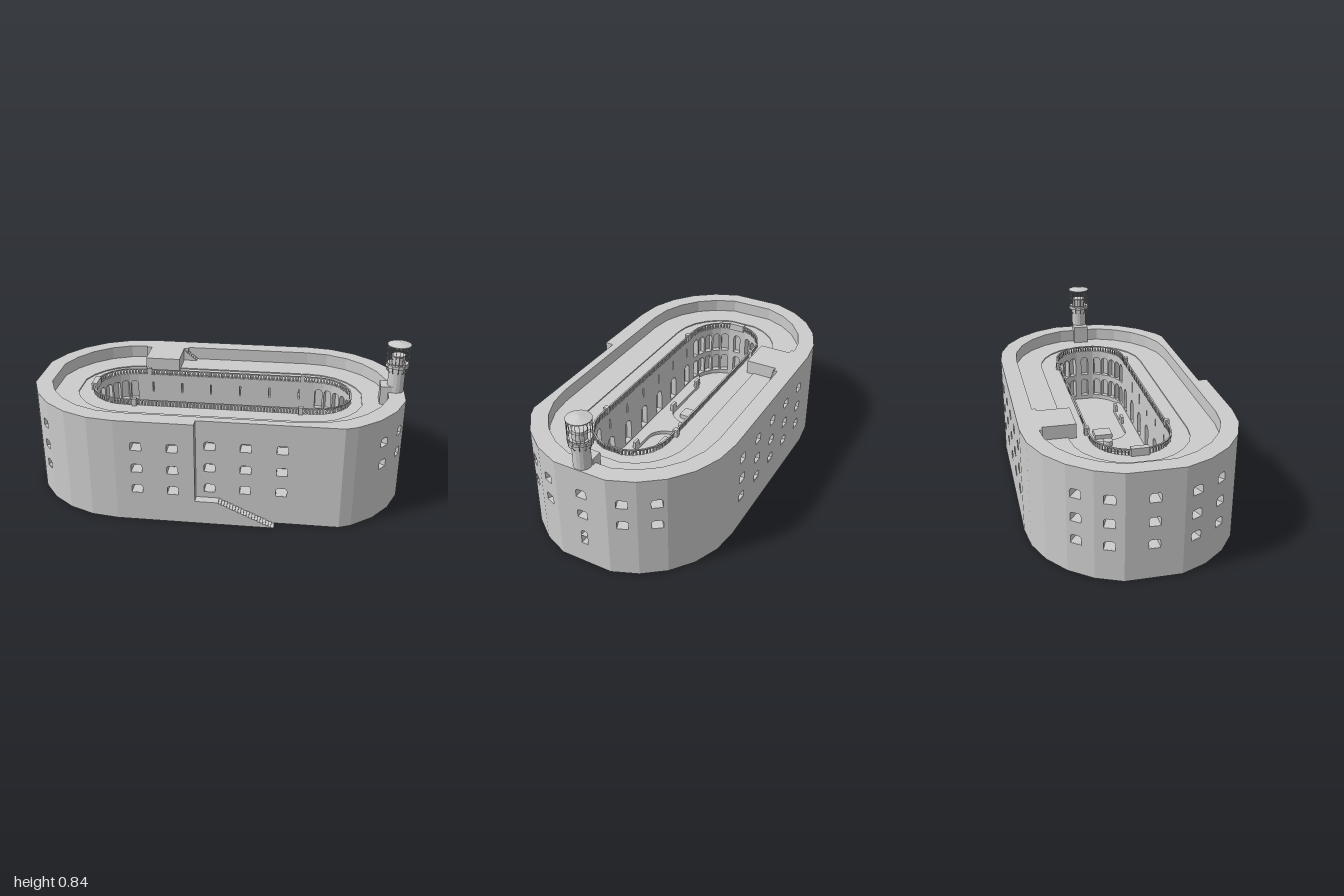
import * as THREE from 'three';
import { mergeGeometries } from 'three/addons/utils/BufferGeometryUtils.js';

const mat = new THREE.MeshStandardMaterial({ color: 0xcccccc, side: THREE.DoubleSide, flatShading: true });
const OFF = -0.01, CX = 0.465, R = 0.54, TOP = 0.568, ROOF = 0.498, EDGE = 0.492, FLOOR = 0.168;
const V2 = (x, y) => new THREE.Vector2(x, y);

// Plan of a stadium with faceted ends, as (x, z), running +x along the front
function stadium(cx, r, off = OFF) {
  const pts = [];
  for (const s of [1, -1]) {
    for (let i = 0; i <= 12; i++) {
      if (i === 6) continue; // the tip facet is double width
      const a = Math.PI / 2 - (i * Math.PI) / 12;
      pts.push(V2(off + s * (cx + r * Math.cos(a)), s * r * Math.sin(a)));
    }
  }
  return pts;
}

// Quads between successive closed loops of 3D points
function loft(rows) {
  const pos = [];
  for (let j = 0; j + 1 < rows.length; j++) {
    const p = rows[j], q = rows[j + 1];
    for (let i = 0; i < p.length; i++) {
      const k = (i + 1) % p.length;
      for (const v of [p[i], p[k], q[k], p[i], q[k], q[i]]) pos.push(v.x, v.y, v.z);
    }
  }
  const g = new THREE.BufferGeometry();
  g.setAttribute('position', new THREE.Float32BufferAttribute(pos, 3));
  g.computeVertexNormals();
  return g;
}
const bare = (g) => {
  const n = g.index ? g.toNonIndexed() : g;
  n.deleteAttribute('uv');
  return n;
};
const merge = (list) => mergeGeometries(list.map(bare));

// Opening with rounded upper corners
function archPoints(u, y, w, h, c) {
  const pts = [V2(u - w / 2, y), V2(u + w / 2, y)];
  for (const s of [1, -1]) {
    for (let i = 0; i <= 3; i++) {
      const a = ((s > 0 ? i : i + 3) * Math.PI) / 6;
      pts.push(V2(u + s * (w / 2 - c) + c * Math.cos(a), y + h - c + c * Math.sin(a)));
    }
  }
  return pts;
}

// Flat wall from a to b with recessed niches
function wallPanel(a, b, y0, y1, columns, depth) {
  const len = a.distanceTo(b), dir = b.clone().sub(a).divideScalar(len);
  const shape = new THREE.Shape([V2(0, y0), V2(len, y0), V2(len, y1), V2(0, y1)]);
  const parts = [];
  for (const col of columns) {
    const d = V2(col.x, col.z).sub(a), u = d.dot(dir);
    if (Math.abs(d.cross(dir)) > 0.012 || u < col.w / 2 || u > len - col.w / 2) continue;
    for (const [y, h, w, c] of col.rows) {
      const pts = archPoints(u, y, w, h, c);
      shape.holes.push(new THREE.Path(pts));
      parts.push(loft([0, -depth].map((z) => pts.map((p) => new THREE.Vector3(p.x, p.y, z)))));
      parts.push(new THREE.ShapeGeometry(new THREE.Shape(pts)).translate(0, 0, -depth));
    }
  }
  parts.push(new THREE.ShapeGeometry(shape));
  return merge(parts).rotateY(-Math.atan2(dir.y, dir.x)).translate(a.x, 0, a.y);
}
const walls = (pts, y0, y1, columns, depth) =>
  merge(pts.map((p, i) => wallPanel(p, pts[(i + 1) % pts.length], y0, y1, columns, depth)));

// Horizontal face or downward slab from a plan
function slab(pts, holes, y, thick = 0) {
  const s = new THREE.Shape(pts);
  s.holes = holes.map((h) => new THREE.Path(h));
  const g = thick ? new THREE.ExtrudeGeometry(s, { depth: thick, bevelEnabled: false }) : new THREE.ShapeGeometry(s);
  return g.rotateX(Math.PI / 2).translate(0, y, 0);
}
const box = (x0, x1, y0, y1, z0, z1) =>
  new THREE.BoxGeometry(x1 - x0, y1 - y0, z1 - z0).translate((x0 + x1) / 2, (y0 + y1) / 2, (z0 + z1) / 2);
const tube = (r0, r1, y0, y1, n = 16) => new THREE.CylinderGeometry(r1, r0, y1 - y0, n).translate(0, (y0 + y1) / 2, 0);

export function createModel() {
  const group = new THREE.Group();
  const add = (name, geo, parent = group) => {
    const m = new THREE.Mesh(geo, mat);
    m.name = name;
    parent.add(m);
  };

  // Outer wall, set back on the right half of the front
  const outline = [V2(-0.07, R), V2(-0.07, 0.493), V2(0.664, 0.493), ...stadium(CX, R).slice(2)];
  const rows3 = [0.163, 0.282, 0.406].map((y) => [y, 0.046, 0.056, 0.014]);
  const columns = [];
  for (const x of [-0.365, -0.182, 0, 0.182, 0.365]) {
    columns.push({ x, z: x < -0.07 ? R : 0.493, w: 0.056, rows: rows3 }, { x, z: -R, w: 0.056, rows: rows3 });
  }
  for (const s of [1, -1]) {
    for (const deg of [-40, -22.5, 0, 22.5, 40]) {
      const a = (deg * Math.PI) / 180, r = R * Math.cos(Math.PI / (deg ? 24 : 12));
      const rows = s < 0 ? rows3 : rows3.slice(1);
      if (s > 0 && deg === 0) rows.push([0.12, 0.082, 0.036, 0.017]);
      columns.push({ x: OFF + s * (CX + r * Math.cos(a)), z: r * Math.sin(a), w: 0.056, rows });
    }
  }
  add('outerWall', walls(outline, 0, TOP, columns, 0.075));

  // Parapet top, sunken roof terrace and base floor
  add('parapetTop', slab(outline, [stadium(CX, 0.45)], TOP));
  const ring = (cx, r, y, off) => stadium(cx, r, off).map((p) => new THREE.Vector3(p.x, y, p.y));
  add('roofTerrace', loft([ring(CX, 0.45, TOP), ring(CX, 0.45, ROOF), ring(0.48, 0.3, ROOF), ring(0.48, 0.3, EDGE), ring(0.505, 0.2, EDGE, 0)]));
  add('baseFloor', slab(outline, [], FLOOR));

  // Courtyard wall: arches at the ends, slits over a low arcade on the long sides
  const yard = stadium(0.505, 0.2, 0).reverse();
  const endRows = [[FLOOR + 0.025, 0.11, 0.042, 0.02], [0.335, 0.115, 0.042, 0.02]];
  const sideRows = [[FLOOR + 0.025, 0.135, 0.06, 0.028], [0.385, 0.06, 0.008, 0.002]];
  const yardColumns = [];
  yard.forEach((p, i) => {
    const q = yard[(i + 1) % yard.length], long = p.distanceTo(q) > 0.5, n = long ? 6 : 1;
    for (let k = 0; k < n; k++) {
      const m = p.clone().lerp(q, (k + 0.5) / n);
      yardColumns.push({ x: m.x, z: m.y, w: 0.042, rows: long ? sideRows : endRows });
    }
  });
  add('courtyardWall', walls(yard, FLOOR, EDGE, yardColumns, 0.03));

  // Balustrade round the courtyard edge
  const balustrade = [slab(stadium(0.505, 0.206, 0), [stadium(0.505, 0.198, 0)], EDGE + 0.032, 0.006)];
  yard.forEach((p, i) => {
    const q = yard[(i + 1) % yard.length], n = Math.max(3, Math.round(p.distanceTo(q) / 0.015));
    for (let k = 0; k < n; k++) {
      const m = p.clone().lerp(q, k / n);
      balustrade.push(new THREE.BoxGeometry(0.008, 0.03, 0.006).translate(m.x, EDGE + 0.014, m.y));
    }
  });
  for (const x of [-0.44, 0.44]) for (const s of [-1, 1]) balustrade.push(box(x - 0.012, x + 0.012, EDGE, EDGE + 0.04, s * 0.205 - 0.012, s * 0.205 + 0.012));
  balustrade.push(box(-0.715, -0.685, EDGE, EDGE + 0.04, -0.045, 0.045));
  add('balustrade', merge(balustrade));

  // Low terrace: side strips joined by a bridge between two rounded openings
  const quarter = [];
  for (let i = 0; i <= 6; i++) {
    const a = (i * Math.PI) / 12;
    quarter.push(V2(0.15 - 0.1 * Math.cos(a), 0.135 * Math.sin(a)));
  }
  quarter.push(V2(0.44, 0.135), V2(0.5, 0.15), V2(0.56, 0.185), V2(0.505, 0.199));
  const mirror = (pts, sx, sz) => pts.map((p) => V2(p.x * sx, p.y * sz));
  const terrace = [
    ...quarter, ...mirror(quarter, -1, 1).reverse(),
    ...mirror(quarter, -1, -1).slice(1), ...mirror(quarter, 1, -1).reverse().slice(0, -1),
  ];
  add('courtyardTerrace', slab(terrace, [], FLOOR + 0.02, 0.02));
  const posts = [];
  for (const x of [-0.44, -0.15, 0.27, 0.44]) for (const s of [-1, 1]) posts.push(box(x - 0.02, x + 0.02, FLOOR, FLOOR + 0.06, s * 0.142 - 0.008, s * 0.142 + 0.008));
  add('terracePosts', merge(posts));
  add('well', tube(0.026, 0.026, FLOOR, FLOOR + 0.05));
  add('hatch', box(0.115, 0.2, FLOOR, FLOOR + 0.025, -0.05, 0.05));
  add('stage', box(-0.19, -0.115, FLOOR, FLOOR + 0.025, -0.08, 0.08));

  // Roof house joined to the rear parapet, with a stair beside it
  const house = [box(-0.47, -0.275, EDGE, TOP, -0.46, -0.26), box(-0.5, -0.25, ROOF, TOP, -0.46, -0.43)];
  for (let i = 0; i < 7; i++) house.push(box(-0.275 + i * 0.011, -0.264 + i * 0.011, ROOF, TOP - (i + 1) * 0.009, -0.45, -0.42));
  add('roofHouse', merge(house));

  // Landing and entrance stairs: a hollow profile closed at the front
  const profile = [V2(-0.07, 0.13), V2(0.05, 0.13)], N = 20;
  for (let i = 0; i < N; i++) {
    const x = 0.05 + (i * 0.285) / N, y = 0.13 * (1 - (i + 1) / N);
    profile.push(V2(x, y), V2(x + 0.285 / N, y));
  }
  profile.push(V2(-0.07, 0));
  const treads = new THREE.PlaneGeometry(1, 1, profile.length - 2, 1);
  const tp = treads.attributes.position;
  for (let i = 0; i < tp.count; i++) {
    const p = profile[i % (profile.length - 1)];
    tp.setXYZ(i, p.x, p.y, i < profile.length - 1 ? 0.493 : R);
  }
  add('entranceStairs', merge([treads, new THREE.ShapeGeometry(new THREE.Shape(profile)).translate(0, 0, R)]));

  // Lookout tower with barred lantern
  const tower = new THREE.Group();
  tower.name = 'lookoutTower';
  tower.position.set(0.93, 0, 0.01);
  group.add(tower);
  add('towerShaft', tube(0.044, 0.044, ROOF, 0.71), tower);
  add('towerPlatform', tube(0.06, 0.06, 0.706, 0.722), tower);
  add('lanternCore', tube(0.036, 0.036, 0.722, 0.77), tower);
  add('lanternRoof', merge([tube(0.062, 0.062, 0.824, 0.828), new THREE.ConeGeometry(0.062, 0.014, 16).translate(0, 0.835, 0)]), tower);
  const bars = [0.775, 0.73].map((y) => new THREE.TorusGeometry(0.059, 0.0014, 4, 24).rotateX(Math.PI / 2).translate(0, y, 0));
  for (let i = 0; i < 20; i++) {
    const a = (i * Math.PI) / 10;
    bars.push(tube(0.0015, 0.0015, 0.72, 0.825, 4).translate(0.059 * Math.cos(a), 0, 0.059 * Math.sin(a)));
  }
  add('lanternBars', merge(bars), tower);
  const curve = new THREE.QuadraticBezierCurve3(new THREE.Vector3(0.042, 0.675, 0), new THREE.Vector3(0.062, 0.68, 0), new THREE.Vector3(0.06, 0.72, 0));
  const brackets = [];
  for (let i = 0; i < 12; i++) brackets.push(new THREE.TubeGeometry(curve, 5, 0.0018, 4).rotateY((i * Math.PI) / 6));
  add('platformBrackets', merge(brackets), tower);
  add('towerPorch', box(-0.08, -0.02, ROOF, 0.6, -0.045, 0.04), tower);

  return group;
}
